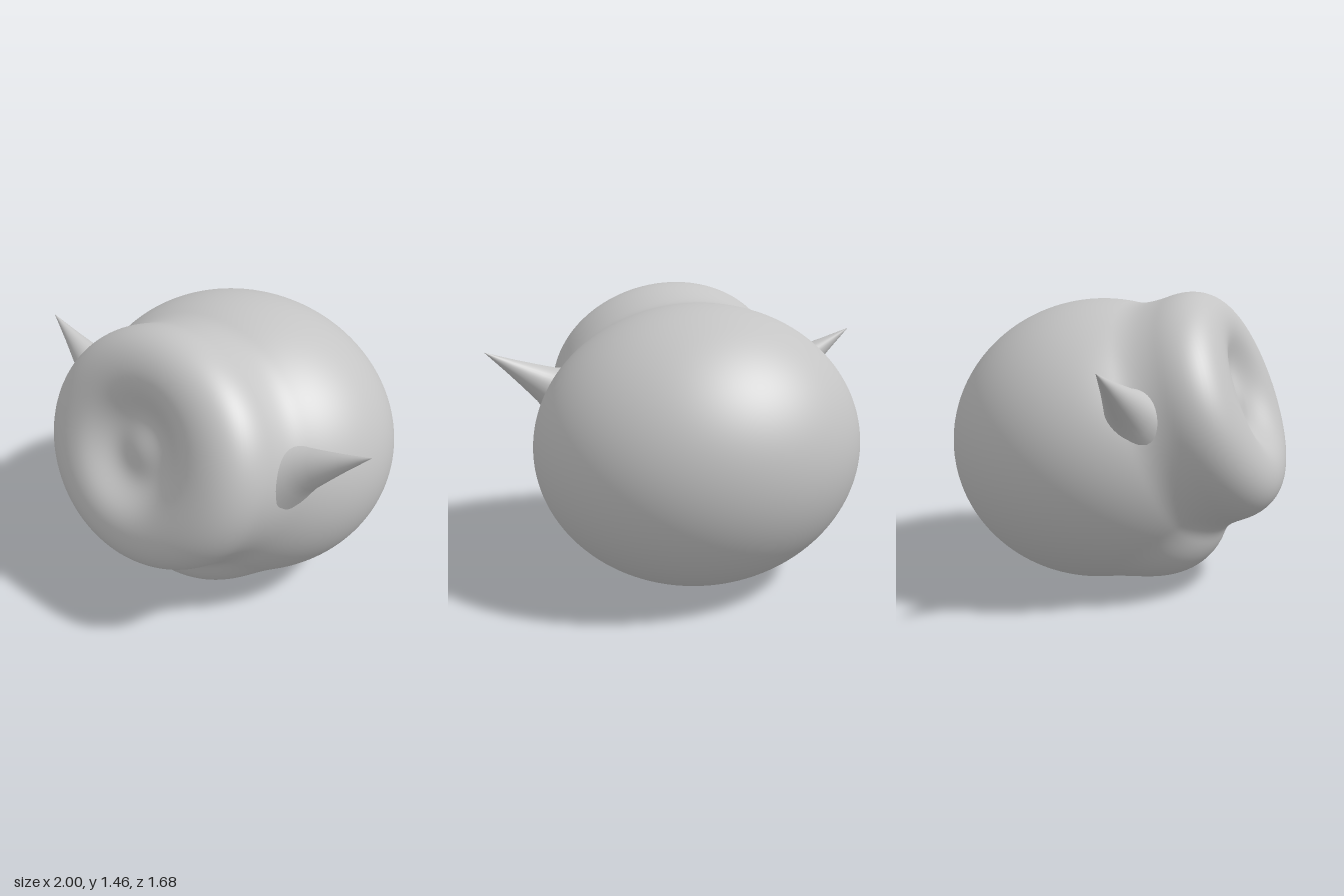
import * as THREE from 'three';
import { mergeVertices } from 'three/addons/utils/BufferGeometryUtils.js';

const CENTRE = new THREE.Vector3(-0.01, 0.72, 0.1);

// approximate signed distance to an ellipsoid
function ellipsoid(p, cx, cy, cz, rx, ry, rz) {
  const x = p.x - cx, y = p.y - cy, z = p.z - cz;
  const k0 = Math.hypot(x / rx, y / ry, z / rz);
  const k1 = Math.hypot(x / (rx * rx), y / (ry * ry), z / (rz * rz));
  return k1 < 1e-6 ? -rx : k0 * (k0 - 1) / k1;
}

function smoothMin(a, b, k) {
  const h = Math.max(k - Math.abs(a - b), 0) / k;
  return Math.min(a, b) - h * h * k * 0.25;
}

// round belly, tilted cushion-shaped face with a central dent, and chin
function bodyField(p) {
  const belly = ellipsoid(p, -0.01, 0.71, -0.07, 0.833, 0.71, 0.75);
  const chin = ellipsoid(p, -0.02, 0.28, 0.29, 0.4, 0.24, 0.28);

  // face frame: t along the tilted axis, r across the disc
  const t = 0.36 * p.y + 0.933 * p.z - 0.77;
  const v = 0.933 * p.y - 0.36 * p.z - 0.66;
  const x = p.x + 0.01;
  const r = 0.61 * Math.hypot(x / 0.64, v / 0.585);
  const q = Math.max(r - 0.35, 0);
  const face = Math.pow(q ** 2.4 + Math.abs(t) ** 2.4, 1 / 2.4) - 0.255;

  let d = smoothMin(smoothMin(belly, chin, 0.12), face, 0.09);
  if (t > 0) {
    const s = Math.hypot(x, v);
    const dent = 0.1 * Math.exp(-((s / 0.25) ** 4)) - 0.025 * Math.exp(-((s / 0.12) ** 2));
    d += dent * Math.min(t / 0.1, 1);
  }
  return d;
}

// sphere whose vertices are pushed out along their rays to the body surface
function bodyGeometry() {
  let geo = new THREE.SphereGeometry(1, 180, 130);
  geo.deleteAttribute('uv');
  geo.deleteAttribute('normal');
  geo = mergeVertices(geo, 1e-5);
  const pos = geo.attributes.position;
  const dir = new THREE.Vector3(), p = new THREE.Vector3();
  for (let i = 0; i < pos.count; i++) {
    dir.fromBufferAttribute(pos, i).normalize();
    let near = 0.2, far = 1.5;
    for (let n = 0; n < 24; n++) {
      const mid = (near + far) / 2;
      p.copy(CENTRE).addScaledVector(dir, mid);
      if (bodyField(p) < 0) near = mid; else far = mid;
    }
    p.copy(CENTRE).addScaledVector(dir, near);
    pos.setXYZ(i, p.x, p.y, p.z);
  }
  geo.computeVertexNormals();
  return geo;
}

// thin horn with a flared root, pointing from base to tip
function makeHorn(name, base, tip, material) {
  const axis = tip.clone().sub(base);
  const length = axis.length();
  const profile = [[0.17, -0.1], [0.125, -0.02], [0.098, 0.04], [0.08, 0.1], [0.06, 0.17],
    [0.038, 0.25], [0.018, 0.33], [0, length]].map(([r, y]) => new THREE.Vector2(r, y));
  const horn = new THREE.Mesh(new THREE.LatheGeometry(profile, 32), material);
  horn.name = name;
  horn.position.copy(base);
  horn.quaternion.setFromUnitVectors(new THREE.Vector3(0, 1, 0), axis.normalize());
  return horn;
}

export function createModel() {
  const group = new THREE.Group();
  group.name = 'hornedCreature';
  const skin = new THREE.MeshStandardMaterial({ color: 0xc4c4c4 });
  skin.name = 'light grey';

  const body = new THREE.Mesh(bodyGeometry(), skin);
  body.name = 'body';
  group.add(body);

  for (const [side, name] of [[1, 'leftHorn'], [-1, 'rightHorn']]) {
    group.add(makeHorn(name,
      new THREE.Vector3(side * 0.66, 0.965, 0.29),
      new THREE.Vector3(side, 1.18, 0.27), skin));
  }
  return group;
}
